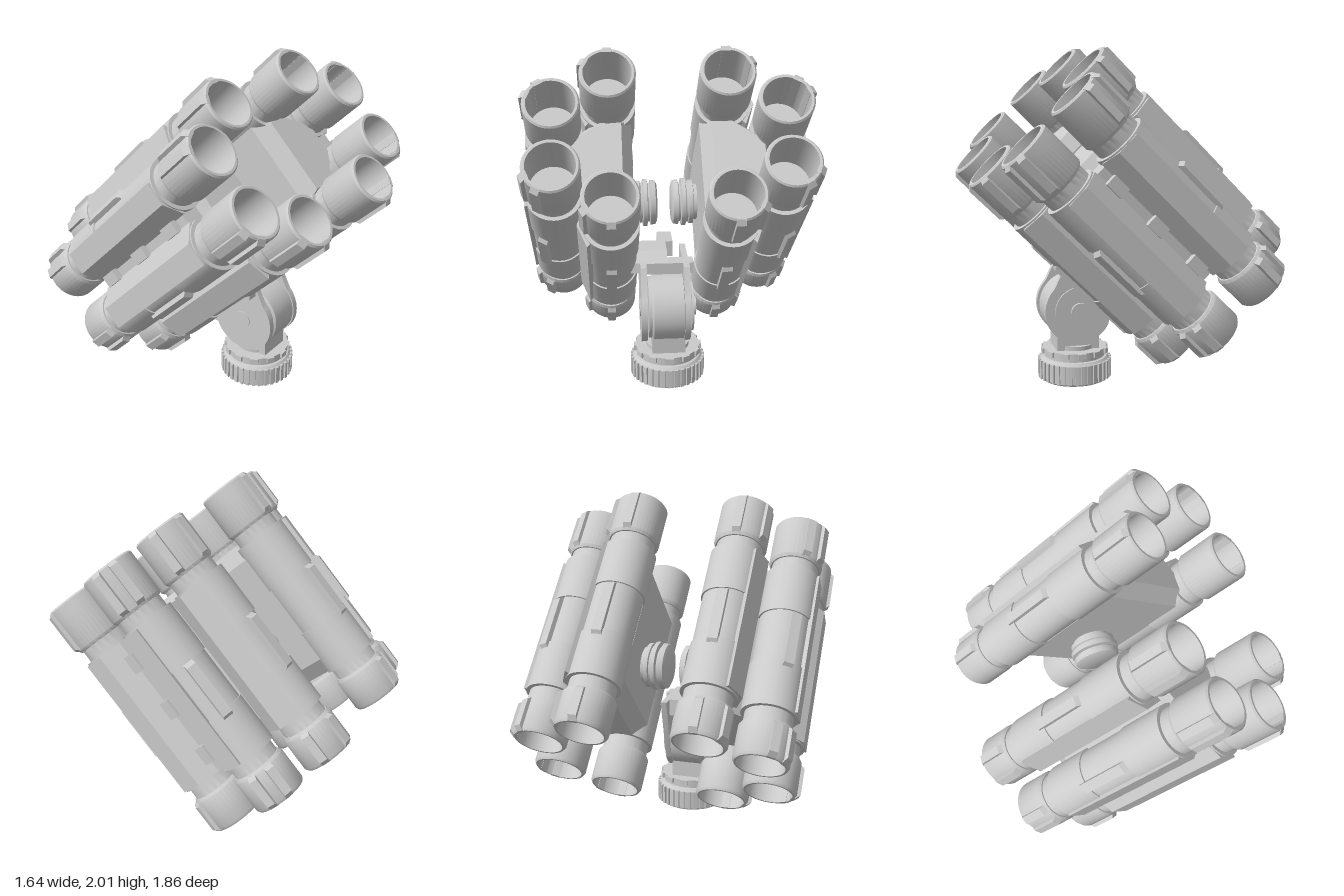
import * as THREE from 'three';
import { toCreasedNormals } from 'three/addons/utils/BufferGeometryUtils.js';

const grey = new THREE.MeshStandardMaterial({ color: 0xcccccc });
const V = (x, y) => new THREE.Vector2(x, y);

function add(parent, name, geo, x = 0, y = 0, z = 0) {
  const mesh = new THREE.Mesh(geo, grey);
  mesh.name = name;
  mesh.position.set(x, y, z);
  parent.add(mesh);
  return mesh;
}

const lathe = (pts, n = 40) =>
  toCreasedNormals(new THREE.LatheGeometry(pts.map(p => V(...p)), n), 0.6);

// Prism whose outline lies in (x, v) and whose length runs along local y
function prism(pts, from, to, taper = 0, inset = 0) {
  const geo = new THREE.ExtrudeGeometry(new THREE.Shape(pts.map(p => V(...p))), {
    depth: to - from - 2 * taper, bevelEnabled: taper > 0,
    bevelThickness: taper, bevelSize: inset, bevelOffset: -inset, bevelSegments: 1,
  });
  geo.translate(0, 0, from + taper);
  geo.rotateX(-Math.PI / 2);
  return geo;
}

// Side outline given as (z, y), extruded across x
function sidePlate(shape, x0, x1) {
  const geo = new THREE.ExtrudeGeometry(shape, { depth: x1 - x0, bevelEnabled: false, curveSegments: 24 });
  geo.translate(0, 0, -(x0 + x1) / 2);
  geo.rotateY(-Math.PI / 2);
  geo.translate(x0 + x1, 0, 0);
  geo.translate(-(x0 + x1) / 2, 0, 0);
  return toCreasedNormals(geo, 0.5);
}

// Hollow-ended tube with two caps, necks and collars
const tubeGeo = lathe([
  [0, -0.5], [0.135, -0.5], [0.135, -0.785], [0.147, -0.785], [0.158, -0.768],
  [0.158, -0.578], [0.146, -0.56], [0.138, -0.56], [0.138, -0.49], [0.161, -0.49],
  [0.161, -0.2], [0.152, -0.2], [0.152, 0.12], [0.161, 0.12], [0.161, 0.43],
  [0.138, 0.43], [0.138, 0.5], [0.146, 0.5], [0.158, 0.518], [0.158, 0.775],
  [0.149, 0.785], [0.135, 0.785], [0.135, 0.5], [0, 0.5],
]);

// Raised bar with sloping ends, lying along local y and standing out along x
function barGeo(u0, u1, top, width) {
  const s = new THREE.Shape([V(0.13, u0), V(0.15, u0), V(top, u0 + 0.025),
    V(top, u1 - 0.025), V(0.15, u1), V(0.13, u1)]);
  const geo = new THREE.ExtrudeGeometry(s, { depth: width, bevelEnabled: false });
  geo.translate(0, 0, -width / 2);
  return geo;
}
const frontBar = barGeo(0.51, 0.785, 0.178, 0.05);
const rearBar = barGeo(-0.785, -0.57, 0.178, 0.05);
const middleBar = barGeo(-0.25, 0.12, 0.178, 0.06);

function buildTube(parent, side, up, x, v, barAngles, shellAngles, shellRadius) {
  const tube = new THREE.Group();
  tube.name = 'launchTube';
  tube.position.set(side * x, 0, -up * v);
  parent.add(tube);
  add(tube, 'tubeBody', tubeGeo);

  // Angles are measured from the pod's top or bottom towards its outer side
  const dir = deg => {
    const a = deg * Math.PI / 180;
    return [side * Math.sin(a), up * Math.cos(a)];
  };
  barAngles.forEach((deg, i) => {
    const [dx, dv] = dir(deg);
    const bars = i === 0 ? [frontBar, rearBar, middleBar] : [frontBar, rearBar];
    for (const geo of bars) add(tube, 'raisedBar', geo).rotation.y = Math.atan2(dv, dx);
  });

  // Faceted armour over the outer side of the tube
  const pts = [[0, 0], ...shellAngles.map(deg => dir(deg).map(c => c * shellRadius))];
  add(tube, 'facetedCasing', prism(pts, -0.48, 0.42));
}

function buildPod(parent, side) {
  const pod = new THREE.Group();
  pod.name = side > 0 ? 'leftPod' : 'rightPod';
  parent.add(pod);
  for (const up of [1, -1]) {
    buildTube(pod, side, up, 0.335, 0.375, [0, 62], [45, 90, 135], 0.188);
    buildTube(pod, side, up, 0.645, 0.19, [30, 68], [67.5, 112.5, 157.5], 0.178);
  }

  // Core between the tubes, with tapered ends
  const core = [[0.2, -0.3], [0.4, -0.3], [0.62, -0.14], [0.62, 0.14], [0.4, 0.3], [0.2, 0.3]];
  add(pod, 'podCore', prism(core.map(([x, v]) => [side * x, v]), -0.49, 0.46, 0.1, 0.06));
  add(pod, 'outerSpine', new THREE.BoxGeometry(0.16, 0.86, 0.1), side * 0.63, -0.03, 0);
  for (const u of [-0.36, -0.04, 0.28])
    add(pod, 'spineBlock', new THREE.BoxGeometry(0.06, 0.11, 0.07), side * 0.72, u, 0);

  // Stepped pivot hub on the inner face
  const hub = add(pod, 'pivotHub', lathe([
    [0, 0.045], [0.115, 0.045], [0.135, 0.055], [0.14, 0.085], [0.12, 0.09], [0.12, 0.1],
    [0.146, 0.105], [0.146, 0.13], [0.125, 0.135], [0.125, 0.145], [0.135, 0.15],
    [0.135, 0.175], [0.11, 0.18], [0.11, 0.22], [0, 0.22],
  ]), 0, -0.12, 0);
  hub.rotation.z = -side * Math.PI / 2;
}

function buildMount(parent) {
  const mount = new THREE.Group();
  mount.name = 'mount';
  parent.add(mount);
  const jz = 0.265, jy = 0.45;

  // Knurled foot
  const foot = new THREE.Group();
  foot.name = 'foot';
  foot.position.z = jz;
  mount.add(foot);
  add(foot, 'footKnob', lathe([
    [0, 0], [0.2, 0], [0.214, 0.012], [0.214, 0.125], [0.2, 0.142], [0.185, 0.145],
    [0.185, 0.165], [0.195, 0.168], [0.195, 0.2], [0.13, 0.2], [0.13, 0.225], [0, 0.225],
  ], 48));
  const ribs = 36;
  for (let i = 0; i < ribs; i++) {
    const a = i / ribs * Math.PI * 2;
    const rib = add(foot, 'gripRib', new THREE.BoxGeometry(0.02, 0.115, 0.022),
      Math.sin(a) * 0.215, 0.072, Math.cos(a) * 0.215);
    rib.rotation.y = a;
    if (i % 3 === 0) {
      const tooth = add(foot, 'collarTooth', new THREE.BoxGeometry(0.05, 0.032, 0.02),
        Math.sin(a) * 0.196, 0.184, Math.cos(a) * 0.196);
      tooth.rotation.y = a;
    }
  }
  add(mount, 'post', new THREE.BoxGeometry(0.2, 0.24, 0.26), 0, 0.32, jz);

  // Tilt joint
  const roller = add(mount, 'tiltRoller', lathe([
    [0, -0.12], [0.185, -0.12], [0.185, -0.1], [0.2, -0.09], [0.2, 0.09],
    [0.185, 0.1], [0.185, 0.12], [0, 0.12],
  ], 48), 0, jy, jz);
  roller.rotation.z = Math.PI / 2;
  const pin = add(mount, 'jointPin', lathe([
    [0, -0.17], [0.055, -0.17], [0.055, 0.17], [0, 0.17],
  ], 24), 0, jy, jz);
  pin.rotation.z = Math.PI / 2;

  // Fork plates either side of the roller, rising to the bracket
  const fork = new THREE.Shape();
  fork.moveTo(0.34, 0.74);
  fork.lineTo(-0.02, 0.74);
  fork.lineTo(jz - 0.18, jy - 0.1);
  fork.absarc(jz, jy, 0.206, Math.PI + 0.507, Math.PI * 2 + 0.75, false);
  fork.closePath();
  const disc = new THREE.Shape().absarc(jz, jy, 0.15, 0, Math.PI * 2);
  for (const s of [1, -1]) {
    add(mount, 'forkPlate', sidePlate(fork, -0.018, 0.018), s * 0.128);
    add(mount, 'jointDisc', sidePlate(disc, -0.006, 0.006), s * 0.15);
  }

  // Bracket reaching back under the pivot hubs
  const bracket = new THREE.Shape([V(0.28, 0.68), V(0.27, 0.74), V(0.2, 0.79), V(0.04, 0.79),
    V(0, 0.74), V(0.02, 0.6), V(0.1, 0.6), V(0.14, 0.66)]);
  add(mount, 'bracket', sidePlate(bracket, -0.11, 0.11));
  add(mount, 'crossPiece', new THREE.BoxGeometry(0.31, 0.07, 0.09), 0, 0.705, 0.235);
  add(mount, 'rearTongue', new THREE.BoxGeometry(0.09, 0.1, 0.16), 0, 0.74, -0.02);
}

export function createModel() {
  const model = new THREE.Group();
  model.name = 'twinPodLauncher';
  // Both pods share one frame tilted up towards the front
  const pods = new THREE.Group();
  pods.name = 'tiltedPods';
  pods.position.y = 1.08;
  pods.rotation.x = Math.PI / 4;
  model.add(pods);
  for (const side of [1, -1]) buildPod(pods, side);
  buildMount(model);
  return model;
}
